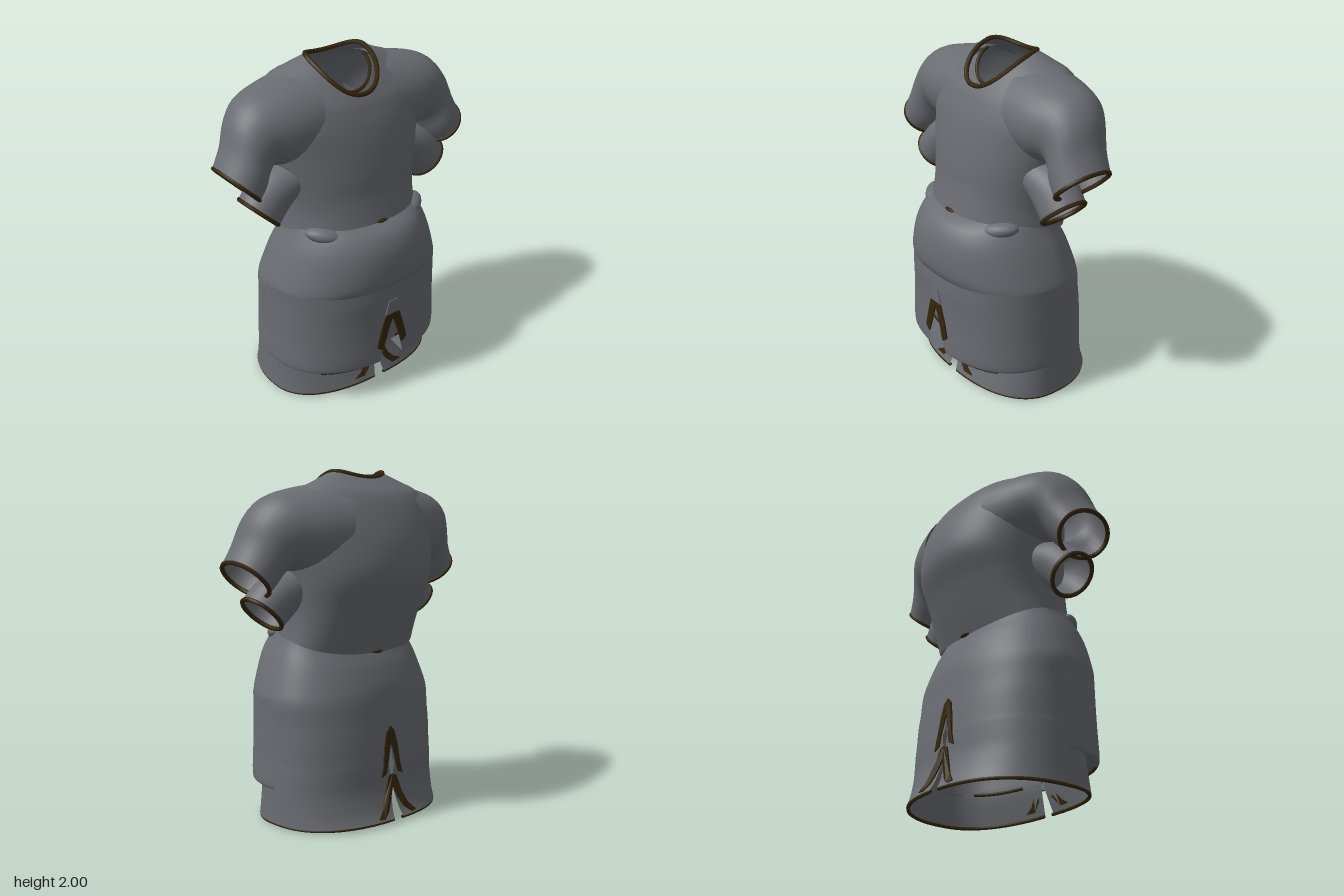
import * as THREE from 'three';

const cloth = new THREE.MeshStandardMaterial({ color: 0x696c71, side: THREE.DoubleSide });
cloth.name = 'grey cloth';
const edge = new THREE.MeshStandardMaterial({ color: 0x35260d, side: THREE.DoubleSide });
edge.name = 'dark brown trim';

// Smoothly subdivides rows of section parameters
function refine(rows, steps = 4) {
  const out = [];
  const at = (i) => rows[Math.min(rows.length - 1, Math.max(0, i))];
  for (let i = 0; i < rows.length - 1; i++) {
    for (let k = 0; k < steps; k++) {
      const t = k / steps;
      out.push(rows[i].map((_, c) => {
        const [a, b, d, e] = [at(i - 1)[c], at(i)[c], at(i + 1)[c], at(i + 2)[c]];
        return b + 0.5 * t * (d - a + t * (2 * a - 5 * b + 4 * d - e + t * (3 * (b - d) + e - a)));
      }));
    }
  }
  out.push(rows[rows.length - 1]);
  return out;
}

// Skins a list of point rings
function skin(rings, closed, flip) {
  const n = rings[0].length, index = [];
  for (let i = 0; i < rings.length - 1; i++) {
    for (let j = 0; j < (closed ? n : n - 1); j++) {
      const k = (j + 1) % n;
      const a = i * n + j, b = a + n, c = i * n + k, d = c + n;
      if (flip) index.push(a, c, b, b, c, d);
      else index.push(a, b, c, b, d, c);
    }
  }
  const g = new THREE.BufferGeometry().setFromPoints(rings.flat());
  g.setIndex(index);
  g.computeVertexNormals();
  // Keep the centre seam smooth after mirroring
  const p = g.attributes.position, m = g.attributes.normal, v = new THREE.Vector3();
  for (let i = 0; i < p.count; i++) {
    if (Math.abs(p.getX(i)) > 1e-4) continue;
    v.fromBufferAttribute(m, i).setX(0).normalize();
    m.setXYZ(i, v.x, v.y, v.z);
  }
  return g;
}

// Half a body section;
// row = [halfWidth, zFront, zBack, yFront, ySide, yBack, squareness, frontGap, backGap]
function bodyRing(row, { zc = 0, end = Math.PI, count = 40 }) {
  const [w, zf, zb, yf, ys, yb, n, gf, gb] = row;
  const start = (gap) => Math.asin((Math.max(0, gap) / w) ** (n / 2));
  const t0 = start(gf), t1 = end - start(gb);
  const pts = [];
  for (let j = 0; j <= count; j++) {
    const t = t0 + (t1 - t0) * j / count;
    const c = Math.cos(t);
    const s = Math.sign(c) * Math.abs(c) ** (2 / n);
    const x = t > Math.PI - 1e-6 ? 0 : w * Math.sin(t) ** (2 / n);
    const y = ys + (yf - yb) / 2 * s + ((yf + yb) / 2 - ys) * s * s;
    pts.push(new THREE.Vector3(x, y, zc + s * (s > 0 ? zf - zc : zc - zb)));
  }
  return pts;
}

// Sleeve section; row = [topX, topY, bottomX, bottomY, zFront, zBack]
function sleeveRing([tx, ty, bx, by, zf, zb], count = 32) {
  return Array.from({ length: count }, (_, j) => {
    const t = j / count * Math.PI * 2, c = Math.cos(t) / 2;
    return new THREE.Vector3((tx + bx) / 2 + c * (tx - bx), (ty + by) / 2 + c * (ty - by),
      (zf + zb) / 2 + Math.sin(t) * (zf - zb) / 2);
  });
}

function trimTube(points, r, closed = false) {
  const path = new THREE.CatmullRomCurve3(points, closed);
  return new THREE.TubeGeometry(path, points.length * 2, r, 6, closed);
}

export function createModel() {
  const root = new THREE.Group();
  const add = (name, geo, mat) => {
    const mesh = new THREE.Mesh(geo, mat);
    mesh.name = name;
    root.add(mesh);
    return mesh;
  };
  const pair = (name, geo, mat) => {
    add(name + 'Left', geo, mat);
    add(name + 'Right', geo, mat).scale.x = -1;
  };
  const body = (name, rows, opt) => {
    const fine = refine(rows.map((r) => [...r, 0, 0].slice(0, 9)));
    const rings = fine.map((r) => bodyRing(r, opt));
    pair(name, skin(rings, false, false), cloth);
    return { fine, first: rings[0], last: rings[rings.length - 1] };
  };
  const sleeve = (name, rows) => {
    const rings = refine(rows).map((r) => sleeveRing(r));
    pair(name, skin(rings, true, true), cloth);
    const mouth = rings[rings.length - 1];
    const mid = mouth[0].clone().add(mouth[16]).multiplyScalar(0.5);
    pair(name + 'Cuff', trimTube(mouth.map((p) => p.clone().lerp(mid, 0.04)), 0.013, true), edge);
  };

  // Shirt with a scooped neck
  const shirt = body('shirt', [
    [0.195, 0.17, -0.20, 1.80, 1.97, 1.955, 2.2],
    [0.32, 0.19, -0.27, 1.77, 1.92, 1.91, 2.2],
    [0.45, 0.21, -0.34, 1.73, 1.86, 1.85, 2.2],
    [0.51, 0.245, -0.41, 1.64, 1.70, 1.72, 2.2],
    [0.50, 0.275, -0.46, 1.52, 1.55, 1.57, 2.15],
    [0.47, 0.30, -0.47, 1.37, 1.40, 1.41, 2.2],
    [0.445, 0.308, -0.40, 1.27, 1.27, 1.26, 2.3],
    [0.435, 0.325, -0.34, 1.18, 1.16, 1.12, 2.3],
    [0.44, 0.345, -0.27, 1.09, 1.05, 0.97, 2.3],
  ], { zc: -0.05 });
  pair('neckTrim', trimTube(shirt.first, 0.014), edge);

  // Undershirt front seen through the neck
  const under = body('undershirt', [
    [0.185, 0.09, -0.17, 1.79, 1.93, 1.92, 2.1],
    [0.36, 0.14, -0.26, 1.68, 1.80, 1.80, 2.1],
    [0.42, 0.20, -0.34, 1.45, 1.50, 1.50, 2.1],
    [0.40, 0.25, -0.28, 1.18, 1.18, 1.18, 2.1],
  ], { zc: -0.05, end: 1.7 });
  pair('innerNeckTrim', trimTube(under.first, 0.01), edge);

  // Two layers of short sleeves
  sleeve('sleeve', [
    [0.22, 1.93, 0.34, 1.42, 0.19, -0.385],
    [0.43, 1.90, 0.43, 1.43, 0.185, -0.34],
    [0.61, 1.85, 0.51, 1.455, 0.155, -0.275],
    [0.71, 1.75, 0.54, 1.425, 0.15, -0.225],
    [0.76, 1.62, 0.575, 1.37, 0.165, -0.195],
    [0.82, 1.51, 0.625, 1.31, 0.17, -0.175],
  ]);
  sleeve('underSleeve', [
    [0.42, 1.48, 0.39, 1.25, 0.14, -0.15],
    [0.58, 1.42, 0.43, 1.20, 0.14, -0.14],
    [0.70, 1.305, 0.505, 1.12, 0.145, -0.115],
  ]);

  // Shorts with a slit at the front and back
  const shorts = body('shorts', [
    [0.42, 0.33, -0.25, 1.10, 1.10, 1.00, 2.1],
    [0.445, 0.42, -0.28, 1.05, 1.03, 0.95, 2.1],
    [0.485, 0.47, -0.31, 0.95, 0.94, 0.89, 2.15],
    [0.535, 0.48, -0.345, 0.80, 0.80, 0.79, 2.2],
    [0.558, 0.45, -0.36, 0.71, 0.71, 0.71, 2.3],
    [0.553, 0.36, -0.37, 0.60, 0.60, 0.60, 2.4],
    [0.551, 0.32, -0.38, 0.50, 0.50, 0.50, 2.5],
    [0.551, 0.31, -0.39, 0.38, 0.38, 0.38, 2.5, 0, 0.008],
    [0.553, 0.31, -0.393, 0.345, 0.345, 0.345, 2.5, 0.012, 0.02],
    [0.555, 0.305, -0.395, 0.29, 0.29, 0.29, 2.5, 0, 0.012],
    [0.556, 0.30, -0.40, 0.20, 0.20, 0.20, 2.5, 0.008, 0.008],
    [0.557, 0.33, -0.43, 0.09, 0.09, 0.09, 2.45, 0.025, 0.025],
    [0.56, 0.35, -0.46, 0.03, 0.02, 0.035, 2.4, 0.035, 0.035],
  ], {});
  pair('shortsHem', trimTube(shorts.last.map((p) =>
    new THREE.Vector3(p.x * 0.98, p.y - 0.006, p.z * 0.98)), 0.01), edge);

  // Outer front layer, flush with the shorts at the sides and turned in at the hem
  const panel = body('frontPanel', [
    [0.559, 0.455, -0.36, 0.73, 0.73, 0.73, 2.3],
    [0.557, 0.46, -0.36, 0.64, 0.64, 0.64, 2.3],
    [0.557, 0.455, -0.36, 0.54, 0.54, 0.54, 2.35, 0.01],
    [0.557, 0.455, -0.36, 0.40, 0.40, 0.40, 2.4, 0.045],
    [0.562, 0.46, -0.36, 0.25, 0.25, 0.25, 2.4, 0.08],
    [0.556, 0.44, -0.36, 0.213, 0.217, 0.217, 2.4, 0.10],
    [0.548, 0.31, -0.36, 0.21, 0.217, 0.217, 2.5, 0.12],
  ], { end: 1.6 });
  const hem = bodyRing([0.553, 0.43, -0.36, 0.209, 0.213, 0.213, 2.4, 0.15, 0], { end: 1.6 });
  pair('frontPanelHem', trimTube(hem.slice(0, 18), 0.01), edge);
  pair('innerHem', trimTube(panel.last.slice(2, 26).map((p) =>
    new THREE.Vector3(p.x * 0.97, p.y, p.z * 0.97)), 0.01), edge);

  // Thin edging strips laid on the cloth along the slits; side 1 is the front, -1 the back
  const strip = (name, pts, rows, side) => {
    const g = new THREE.ExtrudeGeometry(new THREE.Shape(pts.map((p) => new THREE.Vector2(...p))),
      { depth: 0.009, bevelEnabled: false });
    const p = g.attributes.position, yCol = side > 0 ? 3 : 5, zCol = side > 0 ? 1 : 2;
    for (let i = 0; i < p.count; i++) {
      const y = p.getY(i);
      const k = Math.max(1, rows.findIndex((r) => r[yCol] <= y));
      const [a, b] = [rows[k - 1], rows[k]];
      const t = (a[yCol] - y) / (a[yCol] - b[yCol]);
      const depth = a[zCol] + (b[zCol] - a[zCol]) * t;
      const bend = (1 - (p.getX(i) / a[0]) ** a[6]) ** (1 / a[6]);
      p.setZ(i, depth * bend + p.getZ(i) - 0.0045 + side * 0.0035);
    }
    g.computeVertexNormals();
    pair(name, g, edge);
  };
  strip('frontPanelEdging', [[0, 0.54], [0, 0.51], [0.03, 0.43], [0.07, 0.305], [0.085, 0.31],
    [0.11, 0.33], [0.085, 0.43], [0.05, 0.535]], panel.fine, 1);
  strip('frontLegEdging', [[0, 0.31], [0, 0.24], [0.025, 0.19], [0.06, 0.11], [0.11, 0.06], [0.18, 0.06],
    [0.13, 0.09], [0.095, 0.13], [0.06, 0.2], [0.025, 0.3]], shorts.fine, 1);
  strip('backEdging', [[0, 0.56], [0, 0.47], [0.025, 0.38], [0.045, 0.29], [0.085, 0.27],
    [0.065, 0.34], [0.05, 0.45], [0.03, 0.53]], shorts.fine, -1);
  strip('backLegEdging', [[0, 0.28], [0, 0.21], [0.03, 0.14], [0.065, 0.08], [0.11, 0.045], [0.15, 0.05],
    [0.10, 0.10], [0.065, 0.17], [0.03, 0.27]], shorts.fine, -1);

  // Notch fold above the front slit
  const notch = new THREE.Shape([[-0.03, 0.63], [-0.055, 0.54], [0.055, 0.54], [0.03, 0.63]]
    .map((p) => new THREE.Vector2(...p)));
  add('notchFold', new THREE.ExtrudeGeometry(notch, { depth: 0.008, bevelEnabled: false }), cloth)
    .position.z = 0.456;

  // Gusset inside the shorts
  add('gusset', new THREE.BoxGeometry(0.3, 0.008, 0.25), cloth).position.set(0, 0.8, 0.165);

  // Gathered folds and small patches at the waist
  const fold = new THREE.SphereGeometry(1, 24, 14);
  fold.scale(0.11, 0.045, 0.06);
  fold.rotateZ(0.15);
  fold.rotateY(0.7);
  fold.translate(0.32, 1.065, 0.23);
  pair('waistFold', fold, cloth);
  const patch = new THREE.SphereGeometry(1, 16, 8);
  patch.scale(0.04, 0.01, 0.014);
  add('frontWaistPatch', patch, edge).position.set(0, 1.1, 0.345);
  add('backWaistPatch', patch, edge).position.set(0, 0.975, -0.275);

  return root;
}
